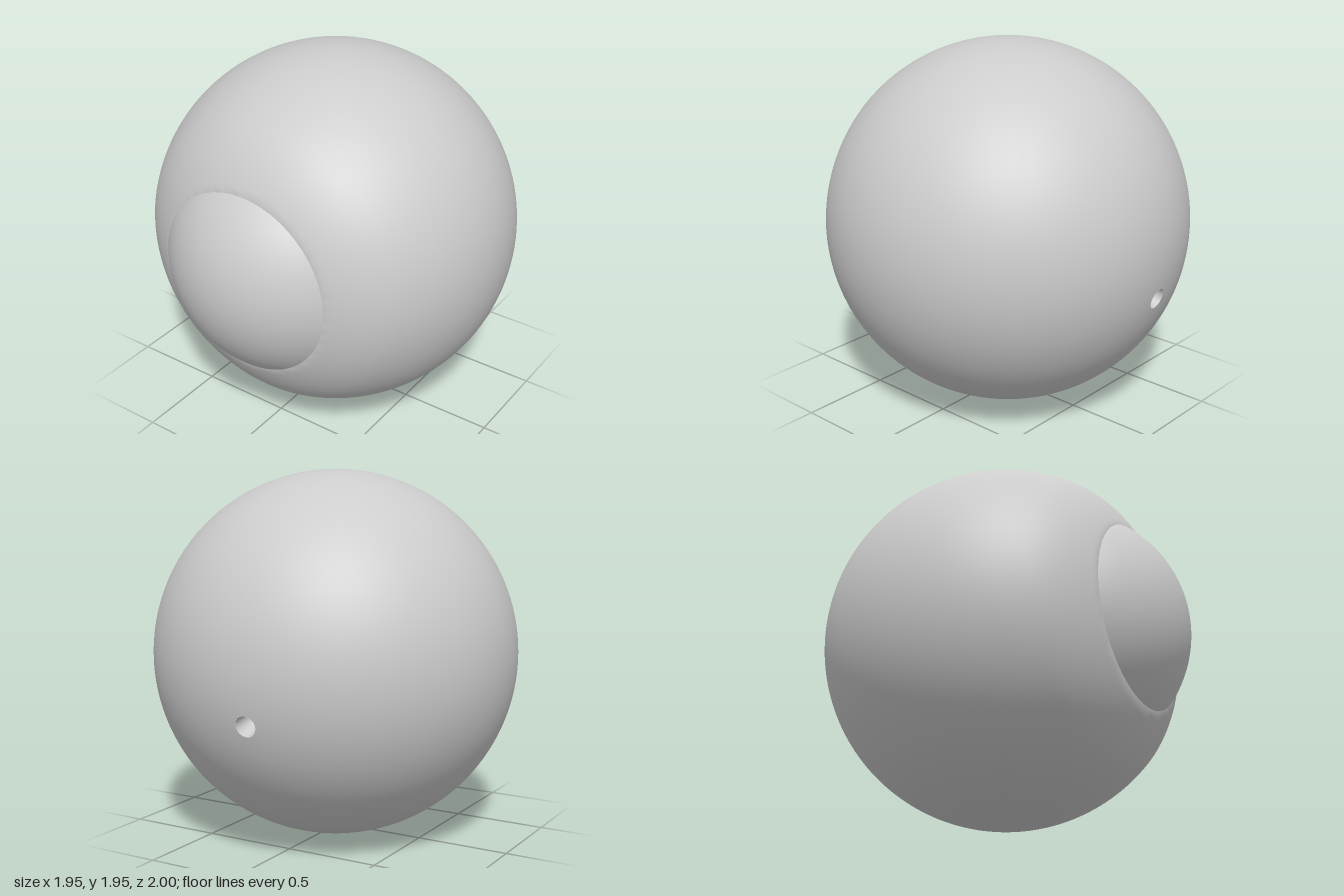
import * as THREE from 'three';
import { mergeVertices } from 'three/addons/utils/BufferGeometryUtils.js';

const R = 0.975; // globe radius
const RIM_ANGLE = 0.546; // angle from +z where the front dome meets the globe
const BLEND_ANGLE = 0.91; // where the flattened shoulder ends
const HOLE = 0.055; // radius of the canal at the back

// Distance from the centre for a direction at angle phi from +z
function globeRadius(phi) {
  if (phi < RIM_ANGLE) return 0.8 / Math.cos(phi); // flat disc under the dome
  if (phi > BLEND_ANGLE) return R;
  const t = (phi - RIM_ANGLE) / (BLEND_ANGLE - RIM_ANGLE);
  return R - 0.036 * Math.pow(1 - t, 1.5);
}

export function createModel() {
  const model = new THREE.Group();
  const grey = new THREE.MeshStandardMaterial({ color: 0xcccccc });
  grey.name = 'light grey';
  grey.side = THREE.DoubleSide;

  const eye = new THREE.Group();
  eye.name = 'eyeball';
  eye.position.set(0, 0.977, -0.025);
  model.add(eye);

  // Axis of the canal, slightly below the middle of the back
  const axis = new THREE.Vector3(-0.06, -0.23, -0.965).normalize();
  const turn = new THREE.Quaternion().setFromUnitVectors(new THREE.Vector3(0, 1, 0), axis);

  // Globe, open at the canal, with a flattened shoulder in front
  const start = Math.asin(HOLE / R);
  let globe = new THREE.SphereGeometry(R, 128, 96, 0, Math.PI * 2, start, Math.PI - start);
  globe.applyQuaternion(turn);
  const pos = globe.attributes.position;
  const v = new THREE.Vector3();
  for (let i = 0; i < pos.count; i++) {
    v.fromBufferAttribute(pos, i).normalize();
    v.multiplyScalar(globeRadius(Math.acos(THREE.MathUtils.clamp(v.z, -1, 1))));
    pos.setXYZ(i, v.x, v.y, v.z);
  }
  globe.deleteAttribute('uv');
  globe.deleteAttribute('normal');
  globe = mergeVertices(globe, 1e-5);
  globe.computeVertexNormals();
  const globeMesh = new THREE.Mesh(globe, grey);
  globeMesh.name = 'globe';
  eye.add(globeMesh);

  // Front dome
  const domeR = 0.656;
  const dome = new THREE.SphereGeometry(domeR, 96, 32, 0, Math.PI * 2, 0, Math.asin(0.49 / domeR));
  dome.rotateX(Math.PI / 2);
  const domeMesh = new THREE.Mesh(dome, grey);
  domeMesh.name = 'cornea';
  domeMesh.position.z = 1.025 - domeR;
  eye.add(domeMesh);

  // Canal sunk into the back
  const canal = new THREE.LatheGeometry(
    [[0, 0.84], [0.04, 0.85], [0.048, 0.9], [HOLE, R * Math.cos(start)]].map(
      ([x, y]) => new THREE.Vector2(x, y)
    ),
    24
  );
  const canalMesh = new THREE.Mesh(canal, grey);
  canalMesh.name = 'nerveCanal';
  canalMesh.quaternion.copy(turn);
  eye.add(canalMesh);

  return model;
}
